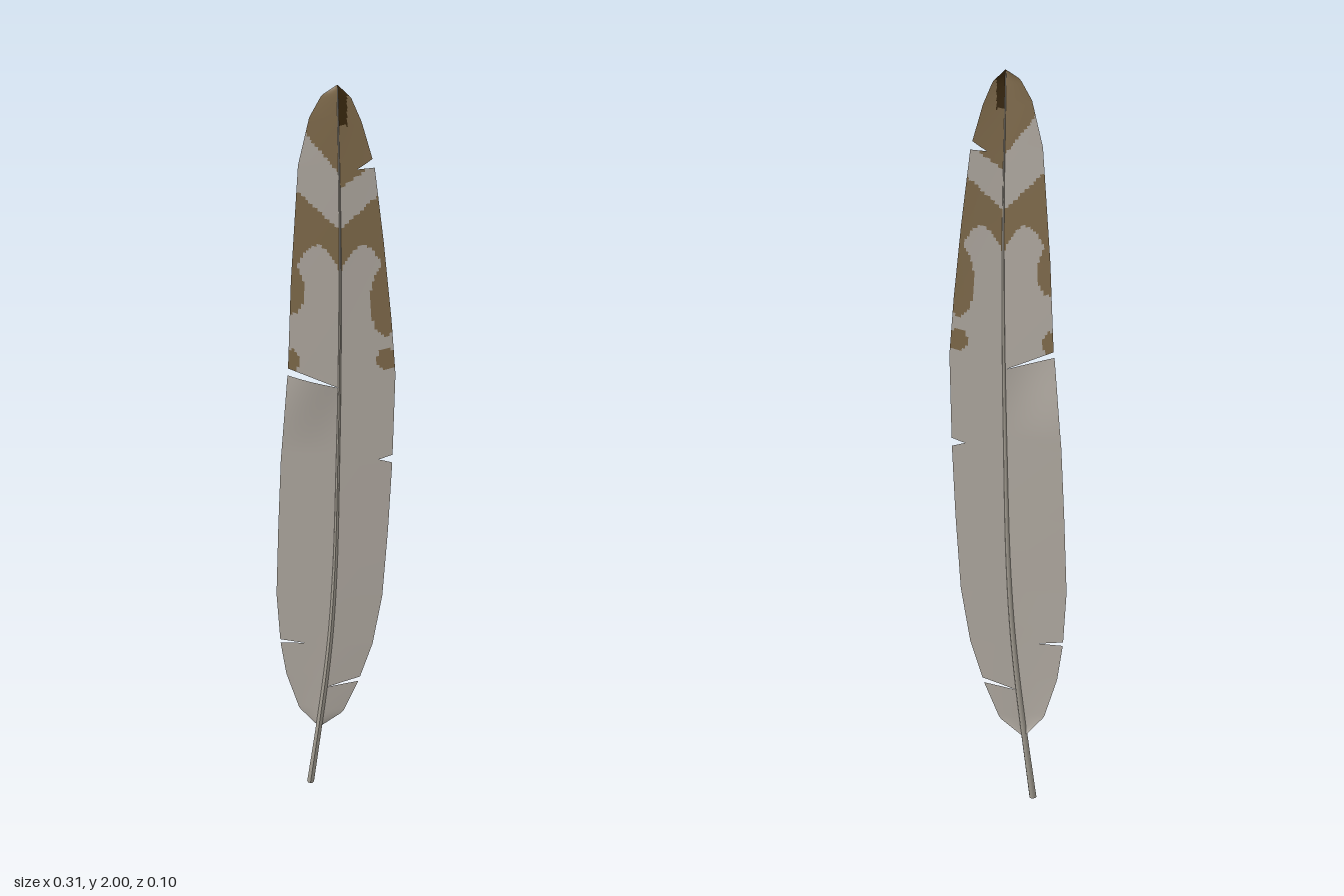
import * as THREE from 'three';

const TILT = 0.297; // the blade is turned about its long axis
const mat = (name, color, side = THREE.FrontSide) => {
  const m = new THREE.MeshStandardMaterial({ color, side });
  m.name = name;
  return m;
};

// piecewise linear lookup of x at height y
const lookup = (pts) => (y) => {
  for (let i = 1; i < pts.length; i++) {
    const [y0, x0] = pts[i - 1], [y1, x1] = pts[i];
    if (y <= y1) return THREE.MathUtils.lerp(x0, x1, Math.max(0, (y - y0) / (y1 - y0)));
  }
  return pts[pts.length - 1][1];
};

const stemX = lookup([[0, -0.07], [0.2, -0.044], [0.35, -0.026], [0.5, -0.012], [0.7, -0.001],
  [1, 0.006], [1.25, 0.01], [1.6, 0.011], [2, 0.004]]);
const edges = {
  right: lookup([[0.18, -0.044], [0.23, 0.02], [0.33, 0.062], [0.45, 0.1], [0.6, 0.125], [0.8, 0.138],
    [1, 0.147], [1.25, 0.152], [1.4, 0.14], [1.6, 0.119], [1.8, 0.094], [1.91, 0.062], [1.97, 0.036], [2, 0.004]]),
  left: lookup([[0.18, -0.046], [0.24, -0.1], [0.35, -0.135], [0.45, -0.15], [0.6, -0.159], [0.8, -0.152],
    [1, -0.143], [1.25, -0.122], [1.5, -0.112], [1.8, -0.092], [1.92, -0.064], [1.975, -0.034], [2, 0.003]]),
};

// splits: y at the stem, y at the edge, opening at the edge, t where it starts
const splits = {
  right: [[0.18, 0.18, 0, 0], [0.31, 0.338, 0.014, 0.1], [1, 1.01, 0.022, 0.75], [1.775, 1.806, 0.022, 0.5], [2, 2, 0, 0]],
  left: [[0.18, 0.18, 0, 0], [0.447, 0.454, 0.01, 0.5], [1.21, 1.253, 0.016, 0.03], [2, 2, 0, 0]],
};
const splitY = ([yi, ye, gap, t0], t, dir) =>
  yi + (ye - yi) * t + dir * 0.5 * gap * Math.max(0, (t - t0) / (1 - t0));

const inEllipse = (x, y, cx, cy, rx, ry) => ((x - cx) / rx) ** 2 + ((y - cy) / ry) ** 2 < 1;

// colour index of a point: 0 pale, 1 brown, 2 dark tip
function patternAt(side, x, y) {
  const right = side === 'right';
  const d = Math.abs(x - stemX(y));
  if (right && y > 1.9 && d < 0.022) return 2;
  const chevronTop = right ? 1.74 + 0.75 * d : 1.78 + 1.25 * d;
  if (y > chevronTop) return 1;
  const bandTop = 1.635 + 0.95 * d;
  const arch = Math.sin(Math.PI * Math.min(1, d / 0.115));
  if (y < bandTop && y > 1.525 + 0.07 * arch) return 1;
  const spots = right
    ? [[0.125, 1.45, 0.038, 0.095], [0.132, 1.29, 0.028, 0.03]]
    : [[-0.112, 1.475, 0.034, 0.065], [-0.115, 1.28, 0.022, 0.035]];
  return spots.some(([cx, cy, rx, ry]) => inEllipse(x, y, cx, cy, rx, ry)) ? 1 : 0;
}

// one panel of barbs between two splits, coloured cell by cell
function panel(side, low, high, curled, materials) {
  const rows = Math.ceil((high[0] - low[0]) / 0.008), cols = 18;
  const pos = [], buckets = [[], [], []];
  for (let i = 0; i <= rows; i++) {
    for (let j = 0; j <= cols; j++) {
      const t = j / cols;
      const y = THREE.MathUtils.lerp(splitY(low, t, 1), splitY(high, t, -1), i / rows);
      const x = THREE.MathUtils.lerp(stemX(y), edges[side](y), t);
      const curl = curled ? 0.014 * THREE.MathUtils.smoothstep(y, 1.02, 1.25) * Math.sin(t * 2.4) : 0;
      pos.push(x / Math.cos(TILT), y, 0.007 * (1 - t) + curl);
    }
  }
  const w = cols + 1;
  for (let i = 0; i < rows; i++) {
    for (let j = 0; j < cols; j++) {
      const a = i * w + j, b = a + 1, c = b + w, d = a + w;
      const cx = (pos[a * 3] + pos[c * 3]) / 2 * Math.cos(TILT);
      const cy = (pos[a * 3 + 1] + pos[c * 3 + 1]) / 2;
      buckets[patternAt(side, cx, cy)].push(...(side === 'right' ? [a, b, c, a, c, d] : [a, c, b, a, d, c]));
    }
  }
  const geo = new THREE.BufferGeometry();
  geo.setAttribute('position', new THREE.Float32BufferAttribute(pos, 3));
  geo.setIndex(buckets.flat());
  let start = 0;
  buckets.forEach((list, k) => {
    if (list.length) geo.addGroup(start, list.length, k);
    start += list.length;
  });
  geo.computeVertexNormals();
  return new THREE.Mesh(geo, materials);
}

// tapered shaft: a tube whose rings shrink towards the tip
function shaft(material) {
  const ys = [0, 0.2, 0.35, 0.5, 0.7, 1, 1.25, 1.6, 1.995];
  const curve = new THREE.CatmullRomCurve3(ys.map((y) =>
    new THREE.Vector3(stemX(y) / Math.cos(TILT), y, 0.007)));
  const n = 60, sides = 8;
  const geo = new THREE.TubeGeometry(curve, n, 0.01, sides);
  const p = geo.attributes.position, v = new THREE.Vector3();
  for (let i = 0; i <= n; i++) {
    const centre = curve.getPointAt(i / n);
    const k = 1 - 0.85 * (i / n) ** 0.8;
    for (let j = 0; j <= sides; j++) {
      const id = i * (sides + 1) + j;
      v.fromBufferAttribute(p, id).sub(centre).multiplyScalar(k).add(centre);
      p.setXYZ(id, v.x, Math.max(0, v.y), v.z);
    }
  }
  geo.computeVertexNormals();
  const mesh = new THREE.Mesh(geo, material);
  mesh.name = 'shaft';
  return mesh;
}

export function createModel() {
  const vaneMats = [
    mat('paleBarbs', 0xb8b1a8, THREE.DoubleSide),
    mat('brownBarbs', 0x86704f, THREE.DoubleSide),
    mat('darkTip', 0x3d2b10, THREE.DoubleSide),
  ];
  const quill = mat('quill', 0xa39d92);
  const blade = new THREE.Group();
  blade.name = 'feather';
  blade.rotation.y = -TILT;

  // vanes, torn into panels by the splits
  for (const side of ['right', 'left']) {
    const vane = new THREE.Group();
    vane.name = side === 'right' ? 'leftVane' : 'rightVane'; // the model's own left is +x
    const cuts = splits[side];
    for (let i = 1; i < cuts.length; i++) {
      const mesh = panel(side, cuts[i - 1], cuts[i], side === 'left' && i === 2, vaneMats);
      mesh.name = 'barbPanel' + i;
      vane.add(mesh);
    }
    blade.add(vane);
  }

  // shaft and the cap closing its lower end
  blade.add(shaft(quill));
  const cap = new THREE.Mesh(new THREE.CircleGeometry(0.01, 8).rotateX(Math.PI / 2), quill);
  cap.position.set(stemX(0) / Math.cos(TILT), 0.0005, 0.007);
  cap.name = 'shaftCap';
  blade.add(cap);

  const model = new THREE.Group();
  model.add(blade);
  return model;
}
